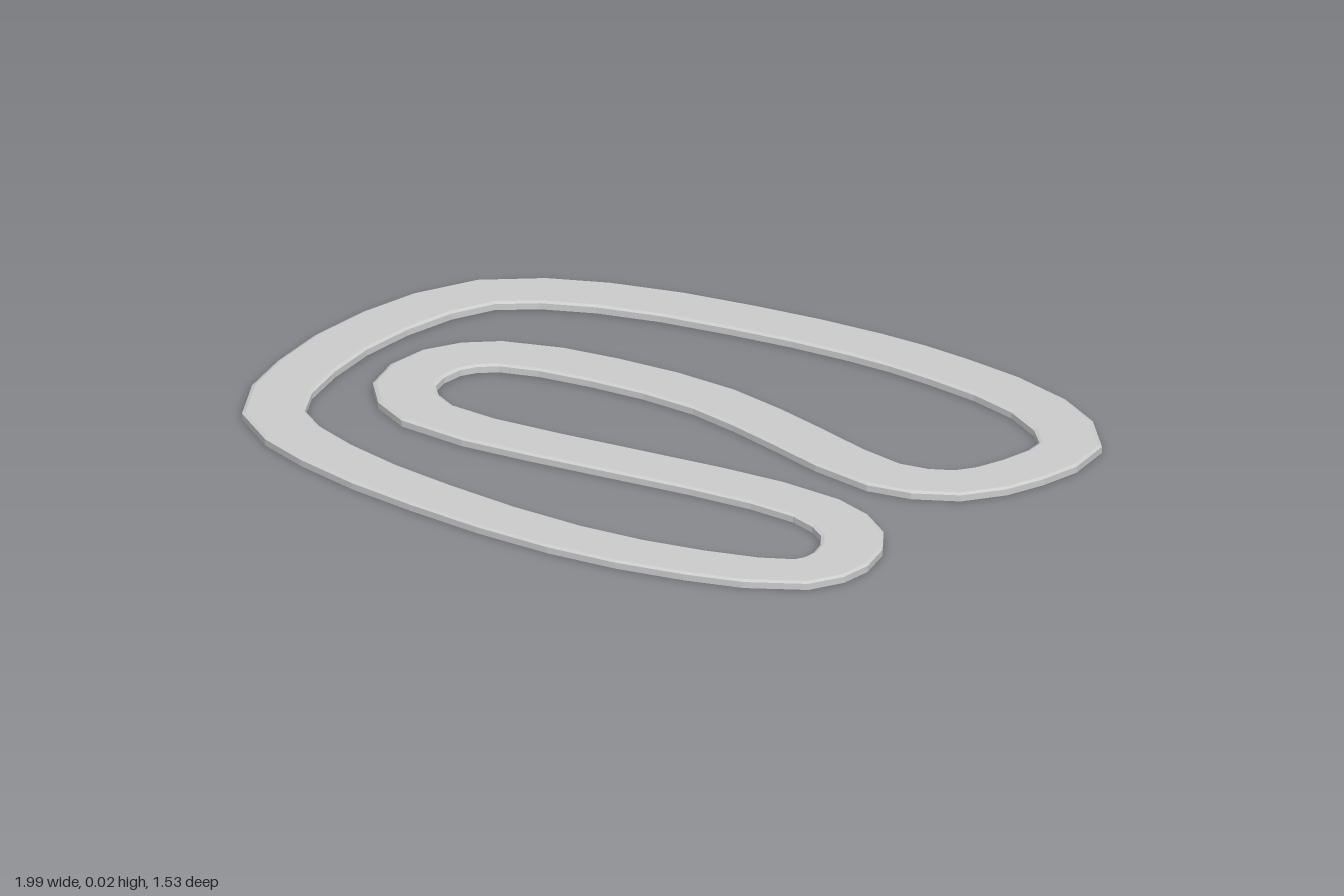
import * as THREE from 'three';

// Centre line of the circuit as [x, z]
const LINE = [
  [0.16, -0.695], [-0.185, -0.67], [-0.54, -0.6], [-0.79, -0.46], [-0.9, -0.18],
  [-0.91, 0.155], [-0.825, 0.435], [-0.585, 0.57], [-0.23, 0.65], [0.18, 0.685],
  [0.53, 0.645], [0.78, 0.55], [0.82, 0.435], [0.76, 0.29], [0.6, 0.205],
  [0.275, 0.2], [-0.165, 0.24], [-0.51, 0.235], [-0.65, 0.12], [-0.655, -0.055],
  [-0.555, -0.165], [-0.29, -0.22], [0.03, -0.215], [0.325, -0.135], [0.625, -0.055],
  [0.805, -0.11], [0.895, -0.265], [0.91, -0.455], [0.715, -0.61], [0.405, -0.68],
];

// Slab cross-section as [sideways, height], with a small bevel along the top edges
const SECTION = [[-0.077, 0], [0.077, 0], [0.077, 0.016], [0.068, 0.02], [-0.068, 0.02], [-0.077, 0.016]];

// Sweeps a closed section along a closed, level curve
function sweepLoop(curve, section, steps) {
  const positions = [], index = [], n = section.length;
  for (let i = 0; i < steps; i++) {
    const p = curve.getPoint(i / steps);
    const t = curve.getTangent(i / steps);
    for (const [s, y] of section) positions.push(p.x + t.z * s, y, p.z - t.x * s);
    const next = (i + 1) % steps;
    for (let j = 0; j < n; j++) {
      const k = (j + 1) % n;
      const a = i * n + j, b = i * n + k, c = next * n + j, d = next * n + k;
      index.push(a, b, c, b, d, c);
    }
  }
  const geometry = new THREE.BufferGeometry();
  geometry.setAttribute('position', new THREE.Float32BufferAttribute(positions, 3));
  geometry.setIndex(index);
  geometry.computeVertexNormals();
  return geometry;
}

export function createModel() {
  const group = new THREE.Group();
  group.name = 'raceTrack';
  const curve = new THREE.CatmullRomCurve3(LINE.map(([x, z]) => new THREE.Vector3(x, 0, z)), true);
  const material = new THREE.MeshStandardMaterial({ color: 0xcccccc, flatShading: true });

  // Winding road slab
  const road = new THREE.Mesh(sweepLoop(curve, SECTION, LINE.length * 2), material);
  road.name = 'road';
  group.add(road);
  return group;
}
